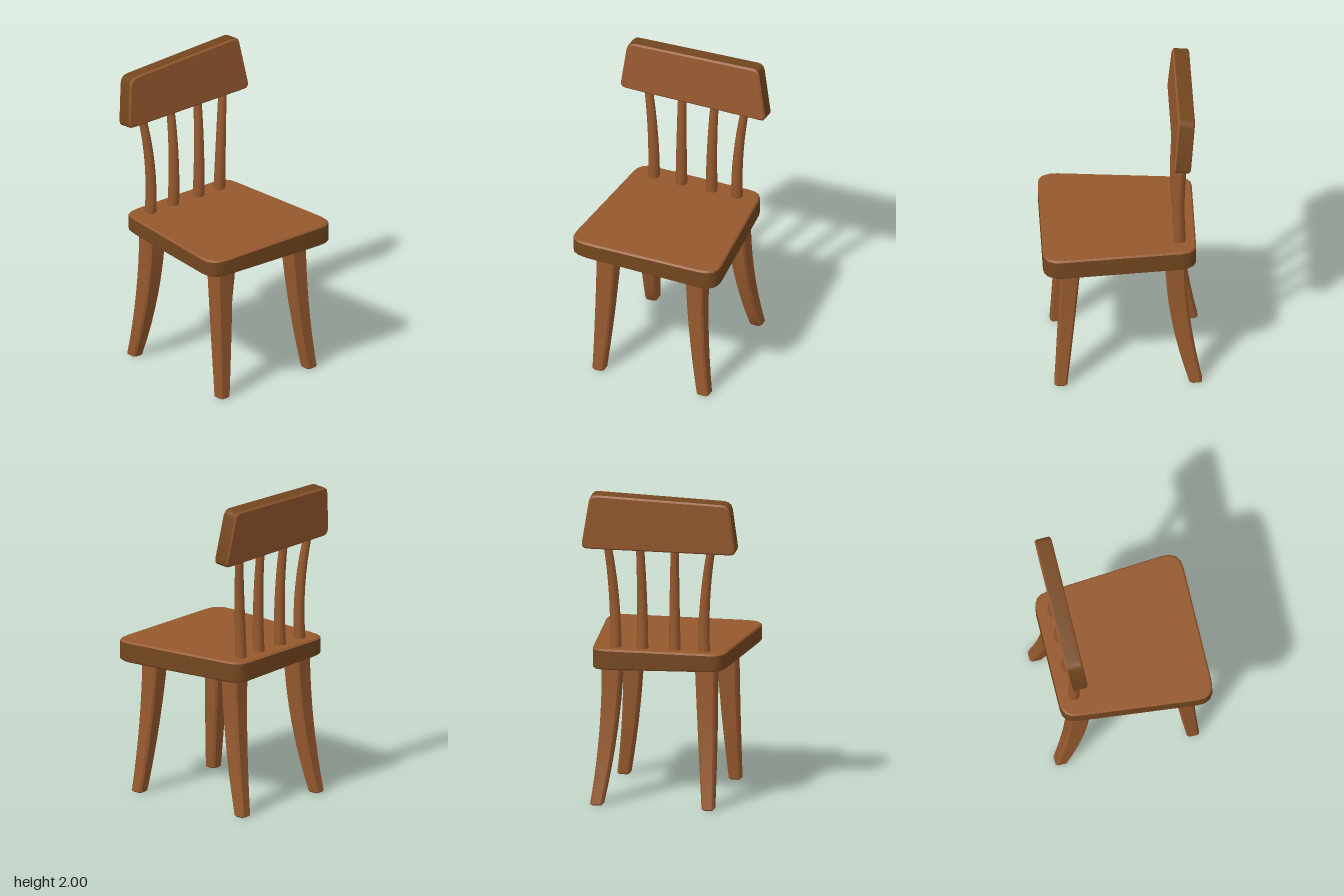
import * as THREE from 'three';
import { toCreasedNormals } from 'three/addons/utils/BufferGeometryUtils.js';

const wood = new THREE.MeshStandardMaterial({ color: 0x96592e });
wood.name = 'wood';
const darkWood = new THREE.MeshStandardMaterial({ color: 0x74471f });
darkWood.name = 'dark wood';

// Skins a stack of equal-length rings and caps both ends; band `darkBand` gets the second material.
function loft(name, rings, darkBand = -1) {
  const pos = [];
  const groups = [];
  const tri = (a, b, c) => [a, b, c].forEach(p => pos.push(p.x, p.y, p.z));
  const group = (material, build) => {
    const start = pos.length / 3;
    build();
    groups.push([start, pos.length / 3 - start, material]);
  };
  const n = rings[0].length;
  const cap = (ring, flip) => {
    const mid = ring.reduce((s, p) => s.add(p), new THREE.Vector3()).divideScalar(n);
    ring.forEach((p, i) => {
      const q = ring[(i + 1) % n];
      flip ? tri(mid, q, p) : tri(mid, p, q);
    });
  };
  group(0, () => cap(rings[0], true));
  for (let k = 0; k < rings.length - 1; k++) {
    group(k === darkBand ? 1 : 0, () => {
      for (let i = 0; i < n; i++) {
        const j = (i + 1) % n;
        tri(rings[k][i], rings[k][j], rings[k + 1][j]);
        tri(rings[k][i], rings[k + 1][j], rings[k + 1][i]);
      }
    });
  }
  group(0, () => cap(rings[rings.length - 1], false));

  const geometry = new THREE.BufferGeometry();
  geometry.setAttribute('position', new THREE.Float32BufferAttribute(pos, 3));
  groups.forEach(g => geometry.addGroup(...g));
  const mesh = new THREE.Mesh(toCreasedNormals(geometry, 0.6), [wood, darkWood]);
  mesh.name = name;
  return mesh;
}

// Counter-clockwise polygon of [x, y, radius] corners, each rounded in `steps` pieces.
function roundedOutline(corners, steps) {
  const pts = [];
  corners.forEach(([x, y, r], i) => {
    const c = new THREE.Vector2(x, y);
    const toward = k => {
      const o = corners[(i + k + corners.length) % corners.length];
      return new THREE.Vector2(o[0], o[1]).sub(c).setLength(r).add(c);
    };
    const curve = new THREE.QuadraticBezierCurve(toward(-1), c, toward(1));
    pts.push(...curve.getPoints(steps));
  });
  return pts;
}

// Pulls an outline inward by d, relative to its centre (cx, cy) and half sizes.
const inset = (pts, d, cx, cy, hx, hy) => pts.map(p => new THREE.Vector2(
  cx + (p.x - cx) * (1 - d / hx), cy + (p.y - cy) * (1 - d / hy)));

// Value at t of the parabola through a (t = 0), b (t = 0.5) and c (t = 1).
const bend = ([a, b, c], t) =>
  a * (1 - t) * (1 - 2 * t) + b * 4 * t * (1 - t) + c * t * (2 * t - 1);

function makeSeat() {
  const edge = roundedOutline([[-0.505, -0.5, 0.12], [0.505, -0.5, 0.12],
    [0.417, 0.463, 0.09], [-0.417, 0.463, 0.09]], 4);
  const small = inset(edge, 0.01, 0, 0, 0.5, 0.48);
  // the underside slopes slightly across the width
  const under = x => 0.877 - 0.025 * x;
  const ring = (pts, y) => pts.map(p => new THREE.Vector3(p.x, y(p.x), -p.y));
  return loft('seat', [
    ring(small, under), ring(edge, x => under(x) + 0.01),
    ring(edge, () => 0.99), ring(small, () => 1)
  ], 1);
}

function makeBackrest() {
  const edge = roundedOutline([[-0.498, 0, 0.04], [0.494, 0, 0.04],
    [0.43, 0.357, 0.04], [-0.46, 0.328, 0.05]], 3);
  const small = inset(edge, 0.01, 0, 0.17, 0.48, 0.17);
  const ring = (pts, z) => pts.map(p => new THREE.Vector3(p.x, p.y, z));
  const mesh = loft('backrest', [
    ring(small, -0.053), ring(edge, -0.043), ring(edge, 0.043), ring(small, 0.053)
  ], 1);
  mesh.position.set(0, 1.638, -0.369);
  mesh.rotation.x = -0.09;
  return mesh;
}

// Curved, tapering leg; x0/x1 and z0/z1 are its bounds at the foot, middle and top.
function makeLeg(name, x0, x1, z0, z1) {
  const ring = (t, shrink) => {
    const [l, r, b, f] = [bend(x0, t) + shrink, bend(x1, t) - shrink,
      bend(z0, t) + shrink, bend(z1, t) - shrink];
    const c = 0.012;
    return roundedOutline([[l, -f, c], [r, -f, c], [r, -b, c], [l, -b, c]], 1)
      .map(p => new THREE.Vector3(p.x, t * 0.89 + (shrink ? 0 : 0.008 * (1 - t)), -p.y));
  };
  const rings = [ring(0, 0.008)];
  for (let i = 0; i <= 8; i++) rings.push(ring(i / 8, 0));
  return loft(name, rings);
}

// Round spindle, thinner towards the top, following three x positions.
function makeSpindle(name, xs) {
  const rings = [];
  for (let k = 0; k <= 8; k++) {
    const t = k / 8;
    const r = 0.038 - 0.012 * t;
    const x = bend(xs, t);
    const z = bend([-0.364, -0.361, -0.388], t);
    rings.push(Array.from({ length: 12 }, (_, i) => {
      const a = i / 12 * Math.PI * 2;
      return new THREE.Vector3(x + r * Math.cos(a), 0.97 + 0.7 * t, z - r * Math.sin(a));
    }));
  }
  return loft(name, rings);
}

export function createModel() {
  const chair = new THREE.Group();
  chair.name = 'chair';
  chair.add(makeSeat(), makeBackrest());

  // Legs: x bounds per side combined with z bounds per end
  const sides = {
    Left: [[0.34, 0.277, 0.245], [0.42, 0.377, 0.368]],
    Right: [[-0.37, -0.362, -0.358], [-0.293, -0.255, -0.23]]
  };
  const ends = {
    front: [[0.348, 0.3, 0.26], [0.427, 0.402, 0.385]],
    back: [[-0.498, -0.422, -0.395], [-0.418, -0.308, -0.268]]
  };
  for (const [end, z] of Object.entries(ends)) {
    for (const [side, x] of Object.entries(sides)) {
      chair.add(makeLeg(`${end}${side}Leg`, ...x, ...z));
    }
  }

  // Spindles between seat and backrest
  [[-0.285, -0.29, -0.336], [-0.097, -0.095, -0.102],
    [0.11, 0.113, 0.121], [0.282, 0.292, 0.33]]
    .forEach((xs, i) => chair.add(makeSpindle(`spindle${i + 1}`, xs)));

  return chair;
}
